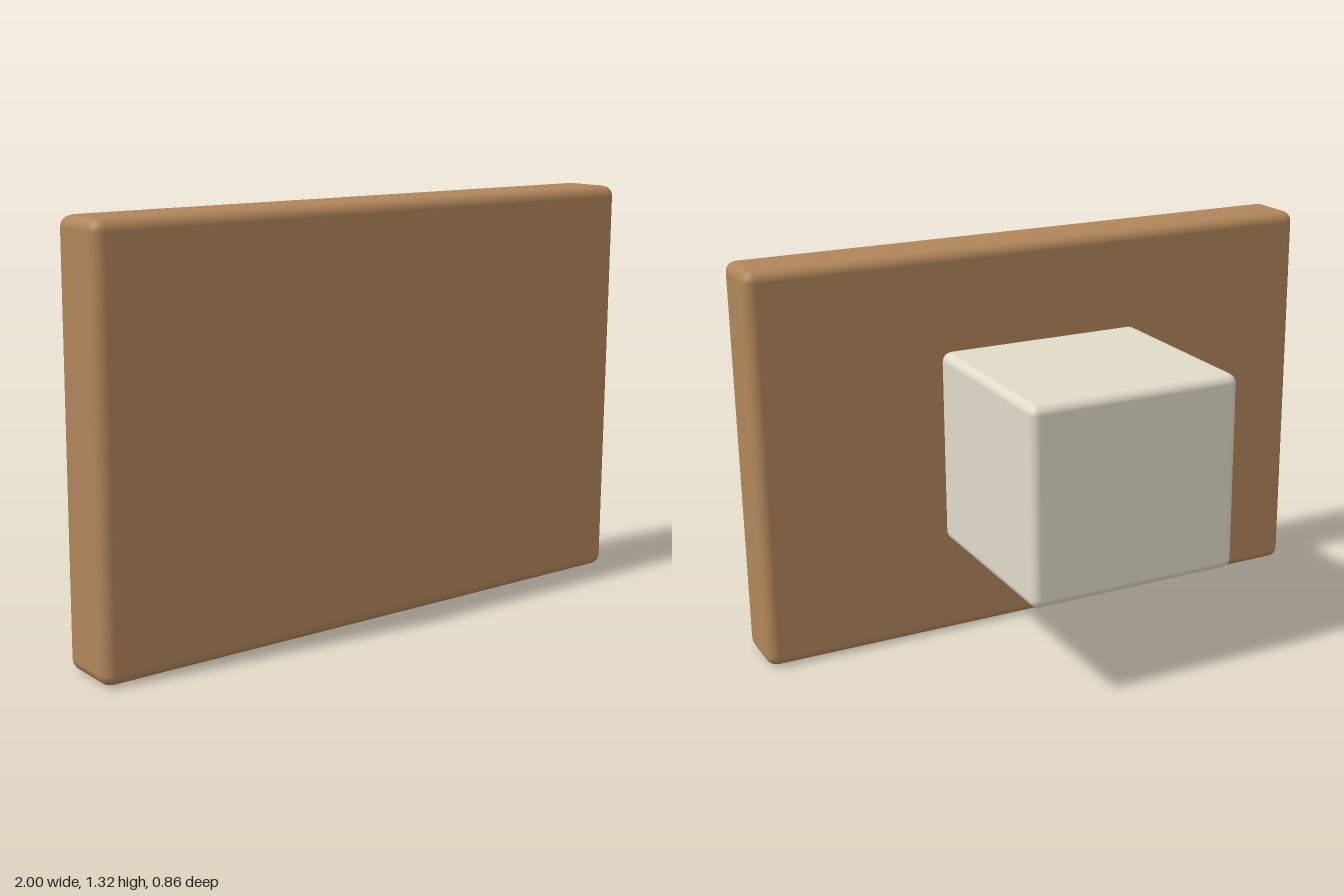
import * as THREE from 'three';
import { RoundedBoxGeometry } from 'three/addons/geometries/RoundedBoxGeometry.js';

// Softly bevelled box given by its extents on each axis
function bevelledBox(name, color, [x0, x1], [y0, y1], [z0, z1], bevel) {
  const mesh = new THREE.Mesh(
    new RoundedBoxGeometry(x1 - x0, y1 - y0, z1 - z0, 2, bevel),
    new THREE.MeshStandardMaterial({ color })
  );
  mesh.position.set((x0 + x1) / 2, (y0 + y1) / 2, (z0 + z1) / 2);
  mesh.name = name;
  return mesh;
}

export function createModel() {
  const group = new THREE.Group();
  group.name = 'panelWithBlock';

  // Upright wooden panel
  group.add(bevelledBox('woodPanel', 0xb0855a, [-1, 1], [0, 1.32], [0.215, 0.43], 0.035));

  // Pale block on the back, its front edge sunk into the panel
  group.add(bevelledBox('backBlock', 0xe0dac8, [-0.36, 0.36], [0.335, 0.987], [-0.43, 0.26], 0.03));

  return group;
}
